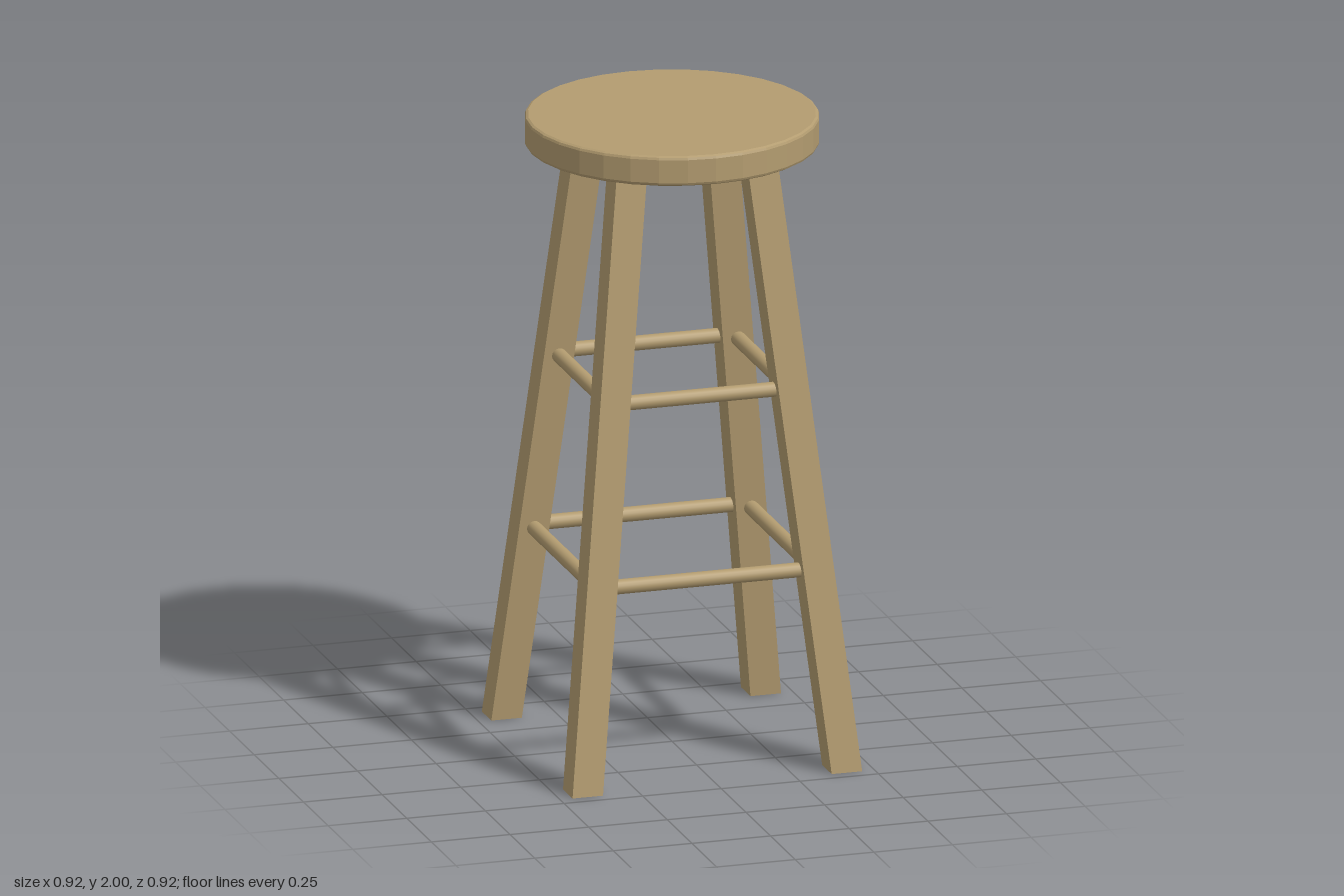
import * as THREE from 'three';

const SEAT_BOTTOM = 1.905;
const LEG_WIDTH = 0.097;
const FOOT = 0.412; // leg centre at the floor
const HEAD = 0.207; // leg centre under the seat

// distance of a leg's centre line from the middle at height y
const legCentre = (y) => FOOT + (HEAD - FOOT) * (y / SEAT_BOTTOM);

export function createModel() {
  const wood = new THREE.MeshStandardMaterial({ color: 0xb39c70 });
  wood.name = 'wood';
  const facetedWood = wood.clone();
  facetedWood.flatShading = true;
  facetedWood.name = 'facetedWood';

  const stool = new THREE.Group();
  stool.name = 'stool';
  const add = (geometry, material, name, parent = stool) => {
    const mesh = new THREE.Mesh(geometry, material);
    mesh.name = name;
    parent.add(mesh);
    return mesh;
  };

  // round seat with softened rims
  const profile = [
    [0, SEAT_BOTTOM], [0.438, SEAT_BOTTOM], [0.445, 1.909], [0.448, 1.916],
    [0.448, 1.989], [0.445, 1.996], [0.438, 2], [0, 2],
  ].map(([r, y]) => new THREE.Vector2(r, y));
  add(new THREE.LatheGeometry(profile, 32), facetedWood, 'seat');

  // four splayed square legs, with level ends
  const legs = new THREE.Group();
  legs.name = 'legs';
  stool.add(legs);
  for (const sx of [-1, 1]) {
    for (const sz of [-1, 1]) {
      const g = new THREE.BoxGeometry(LEG_WIDTH, SEAT_BOTTOM, LEG_WIDTH);
      g.translate(0, SEAT_BOTTOM / 2, 0);
      const p = g.attributes.position;
      for (let i = 0; i < p.count; i++) {
        const c = legCentre(p.getY(i));
        p.setX(i, p.getX(i) + sx * c);
        p.setZ(i, p.getZ(i) + sz * c);
      }
      g.computeVertexNormals();
      add(g, facetedWood, (sz > 0 ? 'front' : 'back') + (sx > 0 ? 'Left' : 'Right') + 'Leg', legs);
    }
  }

  // two levels of round rungs, one between each pair of legs
  for (const [level, y] of [['lower', 0.622], ['upper', 1.184]]) {
    const rungs = new THREE.Group();
    rungs.name = level + 'Rungs';
    stool.add(rungs);
    const c = legCentre(y);
    ['front', 'left', 'back', 'right'].forEach((side, i) => {
      const g = new THREE.CylinderGeometry(0.023, 0.023, 2 * c, 16);
      g.rotateZ(Math.PI / 2);
      g.translate(0, y, c);
      g.rotateY((i * Math.PI) / 2);
      add(g, wood, side + 'Rung', rungs);
    });
  }

  return stool;
}
